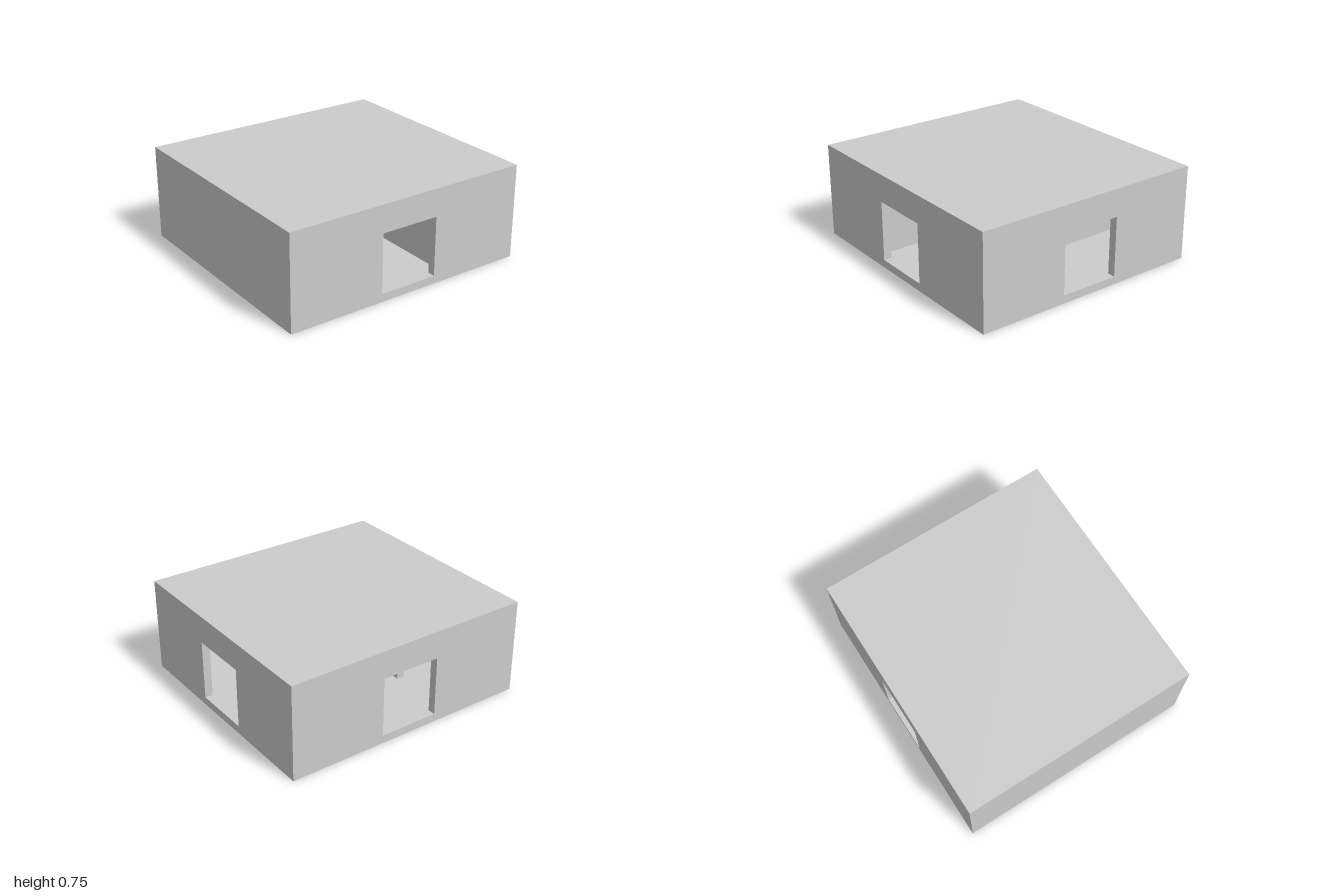
import * as THREE from 'three';

const W = 1.87, H = 0.75, D = 2, T = 0.0625;
const DOOR_W = 0.474, DOOR_H = 0.47;
const material = new THREE.MeshStandardMaterial({ color: 0xcccccc, flatShading: true });

// Horizontal slab of thickness T resting at height y
function slab(name, y) {
  const mesh = new THREE.Mesh(new THREE.BoxGeometry(W, T, D), material);
  mesh.name = name;
  mesh.position.y = y + T / 2;
  return mesh;
}

// Upright wall between the slabs, centred on its length, with an optional doorway at doorX
function wall(name, length, doorX = null) {
  const h = H - 2 * T, a = length / 2;
  const pts = [[-a, 0]];
  if (doorX !== null) {
    const l = doorX - DOOR_W / 2, r = doorX + DOOR_W / 2;
    pts.push([l, 0], [l, DOOR_H], [r, DOOR_H], [r, 0]);
  }
  pts.push([a, 0], [a, h], [-a, h]);
  const shape = new THREE.Shape(pts.map(([x, y]) => new THREE.Vector2(x, y)));
  const geometry = new THREE.ExtrudeGeometry(shape, { depth: T, bevelEnabled: false });
  geometry.translate(0, T, -T / 2);
  const mesh = new THREE.Mesh(geometry, material);
  mesh.name = name;
  return mesh;
}

export function createModel() {
  const group = new THREE.Group();
  group.name = 'building';
  group.add(slab('floor', 0), slab('roof', H - T));

  // Outer walls: doorways in the back and both sides
  const front = wall('frontWall', W);
  front.position.z = D / 2 - T / 2;
  const back = wall('backWall', W, 0);
  back.position.z = -D / 2 + T / 2;
  group.add(front, back);
  for (const side of [-1, 1]) {
    const w = wall(side > 0 ? 'leftWall' : 'rightWall', D - 2 * T, 0);
    w.rotation.y = Math.PI / 2;
    w.position.x = side * (W / 2 - T / 2);
    group.add(w);
  }

  // Inner partitions flanking the central corridor
  const inner = W - 2 * T;
  const backPartition = wall('backPartition', inner);
  backPartition.position.z = -0.36;
  const frontPartition = wall('frontPartition', inner, -0.63);
  frontPartition.position.z = 0.36;
  group.add(backPartition, frontPartition);

  return group;
}
